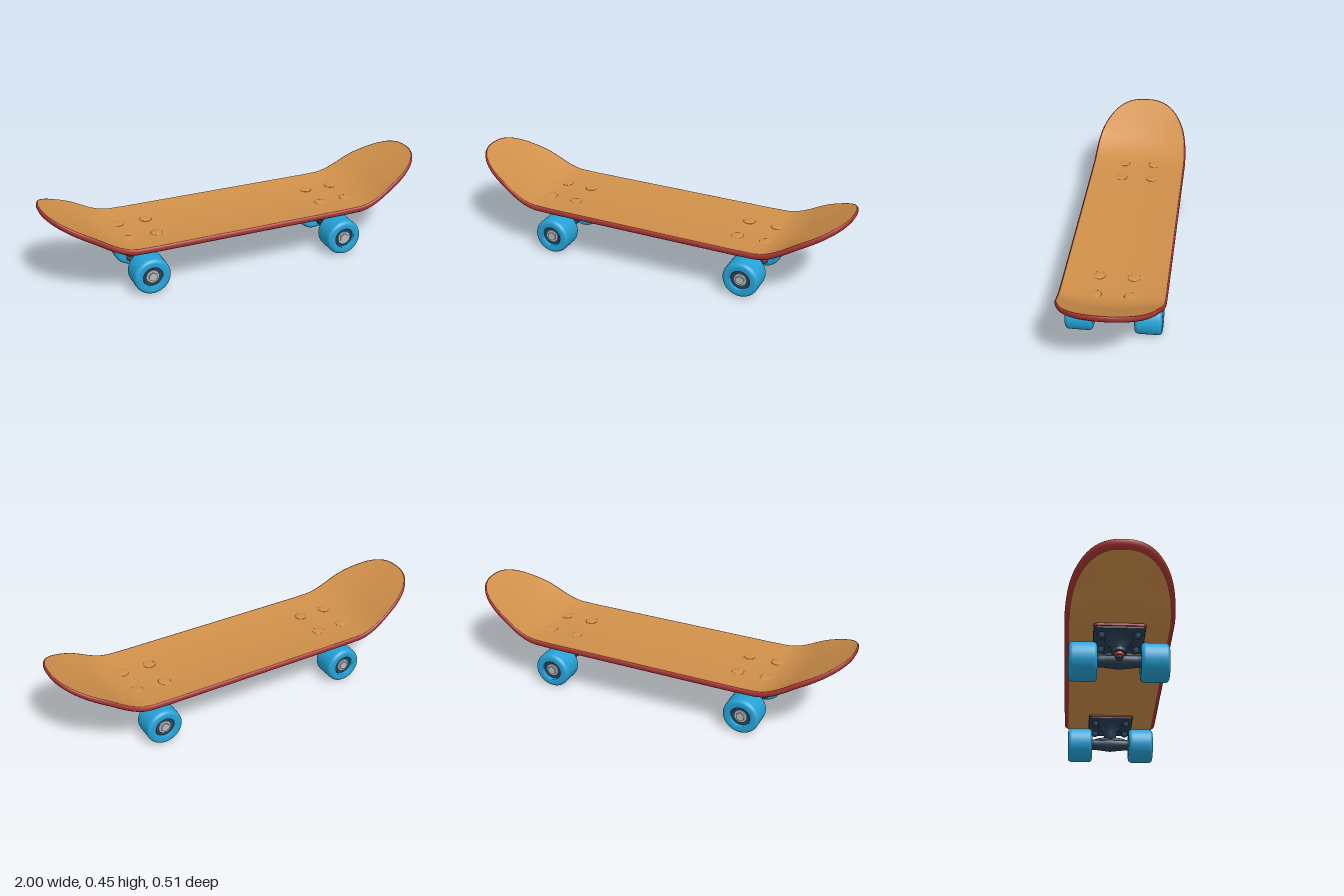
import * as THREE from 'three';
import { mergeVertices } from 'three/addons/utils/BufferGeometryUtils.js';

const mat = (name, color) => Object.assign(new THREE.MeshStandardMaterial({ color }), { name });
const V2 = (x, y) => new THREE.Vector2(x, y);

// Deck plan: straight sides with blunt superelliptic ends, inset by d; one side, +x end to -x end
const STRAIGHT = 0.6, HALF_WIDTH = 0.253, END_STEPS = 28, MID_STEPS = 12, POWER = 2 / 2.4;
function halfOutline(d) {
  const end = [];
  for (let i = 0; i <= END_STEPS; i++) {
    const a = (i / END_STEPS) * Math.PI / 2;
    const c = i === END_STEPS ? 0 : Math.cos(a);
    end.push([STRAIGHT + (1 - STRAIGHT - d) * c ** POWER, (HALF_WIDTH - d) * Math.sin(a) ** POWER]);
  }
  const mid = [];
  for (let i = 1; i < MID_STEPS; i++) mid.push([STRAIGHT * (1 - 2 * i / MID_STEPS), HALF_WIDTH - d]);
  return [...end, ...mid, ...end.slice().reverse().map(([x, z]) => [-x, z])];
}

// Height of the deck top: flat middle, kicked-up ends, shallow concave
function deckHeight(x, z) {
  const start = 0.58, bend = 0.18, slope = 0.625;
  const t = Math.max(0, Math.abs(x) - start);
  const kick = t < bend ? slope * t * t / (2 * bend) : slope * (t - bend / 2);
  const bowl = 0.015 + 0.016 * Math.exp(-(((Math.abs(x) - 0.77) / 0.11) ** 2));
  return 0.251 + kick + bowl * (z / HALF_WIDTH) ** 2;
}

// Smooth surface over a grid of points
function gridGeometry(rows, cols, point, flip = false) {
  const pos = [], index = [];
  for (let i = 0; i < rows; i++) for (let j = 0; j < cols; j++) pos.push(...point(i, j));
  for (let i = 0; i < rows - 1; i++) for (let j = 0; j < cols - 1; j++) {
    const a = i * cols + j, b = a + cols, c = b + 1, d = a + 1;
    index.push(...(flip ? [a, c, b, a, d, c] : [a, b, c, a, c, d]));
  }
  const g = new THREE.BufferGeometry();
  g.setAttribute('position', new THREE.Float32BufferAttribute(pos, 3));
  g.setIndex(index);
  const merged = mergeVertices(g, 1e-5);
  merged.computeVertexNormals();
  return merged;
}

function faceGeometry(inset, drop, flip) {
  const line = halfOutline(inset), cols = 25;
  return gridGeometry(line.length, cols, (i, j) => {
    const x = line[i][0], z = line[i][1] * (2 * j / (cols - 1) - 1);
    return [x, deckHeight(x, z) - drop, z];
  }, flip);
}

function rimGeometry(profile) {
  const loops = profile.map(([d]) => {
    const h = halfOutline(d);
    return [...h, ...h.slice().reverse().map(([x, z]) => [x, -z])];
  });
  return gridGeometry(loops[0].length, profile.length, (i, j) => {
    const [x, z] = loops[j][i];
    return [x, deckHeight(x, z) - profile[j][1], z];
  });
}

function plateGeometry(hx, hz, r, depth) {
  const s = new THREE.Shape();
  s.absarc(hx - r, hz - r, r, 0, Math.PI / 2);
  s.absarc(r - hx, hz - r, r, Math.PI / 2, Math.PI);
  s.absarc(r - hx, r - hz, r, Math.PI, Math.PI * 1.5);
  s.absarc(hx - r, r - hz, r, Math.PI * 1.5, Math.PI * 2);
  const g = new THREE.ExtrudeGeometry(s, { depth, bevelEnabled: false, curveSegments: 6 });
  return g.rotateX(-Math.PI / 2);
}

// Wheel profile: rounded tyre with a recess on both faces
function wheelGeometry() {
  const R = 0.0925, W = 0.066, c = 0.02, pts = [V2(0.05, -0.04), V2(0.05, -W + 0.004), V2(0.054, -W)];
  for (let i = 0; i <= 6; i++) {
    const a = (i / 6) * Math.PI / 2;
    pts.push(V2(R - c + c * Math.sin(a), -W + c - c * Math.cos(a)));
  }
  const all = [...pts, ...pts.slice().reverse().map(p => V2(p.x, -p.y))];
  return new THREE.LatheGeometry(all, 48).rotateX(Math.PI / 2);
}

export function createModel() {
  const wood = mat('wood', 0xd0904a);
  const red = mat('deckRed', 0xa83632);
  const brightRed = mat('bushingRed', 0xc93a2c);
  const navy = mat('truckNavy', 0x2b4159);
  const blue = mat('wheelBlue', 0x25a3d8);
  const steel = mat('steel', 0xb4babd);

  const model = new THREE.Group();
  model.name = 'skateboard';
  const add = (parent, name, geometry, material, x = 0, y = 0, z = 0) => {
    const m = new THREE.Mesh(geometry, material);
    m.name = name;
    m.position.set(x, y, z);
    parent.add(m);
    return m;
  };

  // Deck: top, rounded red rim and underside
  add(model, 'deckTop', faceGeometry(0.008, 0, false), wood);
  add(model, 'deckRim', rimGeometry([[0.008, 0], [0.003, 0.003], [0, 0.01], [0, 0.02],
    [0.004, 0.027], [0.012, 0.032], [0.022, 0.034]]), red);
  add(model, 'deckUnderside', faceGeometry(0.022, 0.034, true), wood);

  // Shared truck geometries
  const wheel = wheelGeometry();
  const hub = new THREE.CylinderGeometry(0.051, 0.051, 0.1, 32).rotateX(Math.PI / 2);
  const bearing = new THREE.CylinderGeometry(0.033, 0.033, 0.112, 24).rotateX(Math.PI / 2);
  const axleNut = new THREE.CylinderGeometry(0.023, 0.023, 0.124, 6).rotateX(Math.PI / 2);
  const pad = plateGeometry(0.135, 0.12, 0.02, 0.012);
  const plate = plateGeometry(0.128, 0.118, 0.02, 0.014);
  const pedestal = new THREE.LatheGeometry([V2(0, 0.118), V2(0.026, 0.12), V2(0.032, 0.13),
    V2(0.034, 0.15), V2(0.04, 0.175), V2(0.05, 0.192), V2(0.068, 0.204)], 32).scale(1.35, 1, 1);
  const hanger = new THREE.LatheGeometry([V2(0, -0.115), V2(0.029, -0.115), V2(0.029, -0.08),
    V2(0.033, -0.045), V2(0.038, 0), V2(0.033, 0.045), V2(0.029, 0.08), V2(0.029, 0.115),
    V2(0, 0.115)], 28).rotateX(Math.PI / 2);
  const nut = new THREE.LatheGeometry([V2(0, -0.013), V2(0.012, -0.013), V2(0.017, -0.008),
    V2(0.017, 0.008), V2(0.022, 0.014)], 16);
  const boltHead = new THREE.SphereGeometry(0.03, 24, 8, 0, Math.PI * 2, 0, Math.PI / 2).scale(1, 0.2, 1);

  for (const side of [1, -1]) {
    const truck = new THREE.Group();
    truck.name = side > 0 ? 'leftTruck' : 'rightTruck';
    truck.position.x = side * 0.522;
    truck.rotation.y = side > 0 ? 0 : Math.PI;
    model.add(truck);

    // Base and hanger
    add(truck, 'riserPad', pad, red, 0, 0.212, 0);
    add(truck, 'basePlate', plate, navy, 0, 0.202, 0);
    add(truck, 'pedestal', pedestal, navy);
    add(truck, 'hanger', hanger, navy, 0, 0.097, 0);
    const web = add(truck, 'hangerWeb', new THREE.SphereGeometry(1, 28, 14), navy, 0, 0.118, 0);
    web.scale.set(0.035, 0.02, 0.095);

    // Tilted kingpin with its bushing, leaning outwards
    const kingpin = new THREE.Group();
    kingpin.name = 'kingpin';
    kingpin.position.set(0.035, 0.122, 0);
    kingpin.rotation.z = 0.35;
    truck.add(kingpin);
    add(kingpin, 'yoke', new THREE.CylinderGeometry(0.036, 0.034, 0.02, 28), navy);
    add(kingpin, 'bushing', new THREE.CylinderGeometry(0.023, 0.02, 0.016, 24), brightRed, 0, -0.016, 0);
    add(kingpin, 'kingpinNut', new THREE.CylinderGeometry(0.015, 0.015, 0.016, 6), navy, 0, -0.031, 0);

    // Mounting hardware
    for (const x of [-0.073, 0.073]) for (const z of [-0.083, 0.083]) {
      add(truck, 'mountingNut', nut, navy, x, 0.191, z);
      add(truck, 'boltHead', boltHead, wood, x, deckHeight(0.522 + x, z) - 0.0005, z);
    }

    // Wheels
    for (const z of [-0.166, 0.166]) {
      add(truck, 'wheel', wheel, blue, 0, 0.0925, z);
      add(truck, 'wheelHub', hub, navy, 0, 0.0925, z);
      add(truck, 'bearing', bearing, steel, 0, 0.0925, z);
      add(truck, 'axleNut', axleNut, steel, 0, 0.0925, z);
    }
  }
  return model;
}
